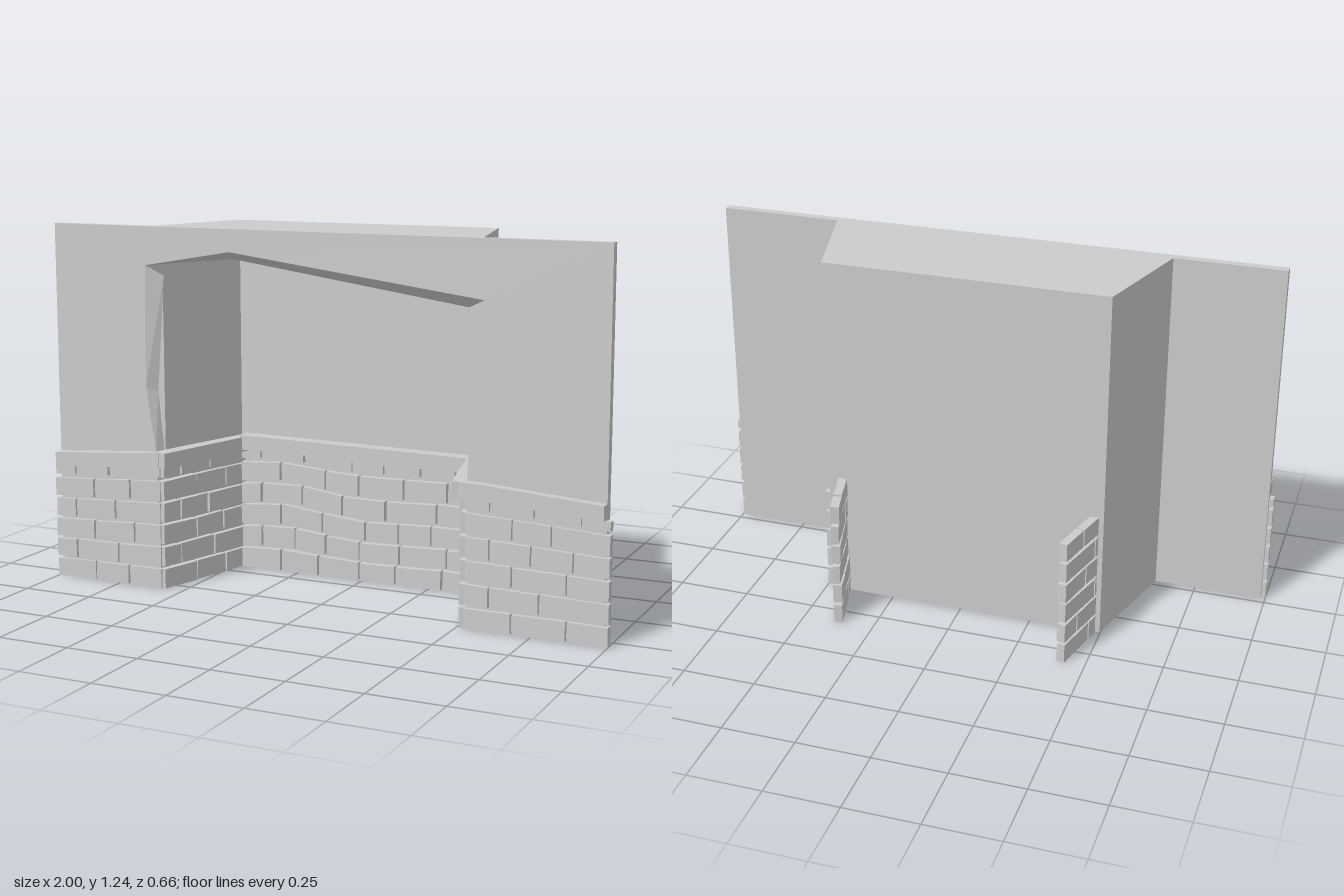
import * as THREE from 'three';

const BOTTOM = 0.01, TOP = 1.24;

export function createModel() {
  const model = new THREE.Group();
  model.name = 'brickAlcoveWall';
  const plaster = new THREE.MeshStandardMaterial({ color: 0xcccccc, flatShading: true });

  let seed = 7;
  const rand = () => (seed = (seed * 16807) % 2147483647) / 2147483647;

  function add(parent, name, geometry) {
    const mesh = new THREE.Mesh(geometry, plaster);
    mesh.name = name;
    parent.add(mesh);
    return mesh;
  }

  const toShape = pts => new THREE.Shape(pts.map(p => new THREE.Vector2(p[0], p[1])));

  // Extrudes a plan outline of [x, z] points between two heights
  function prism(name, plan, y0, y1) {
    const g = new THREE.ExtrudeGeometry(toShape(plan.map(([x, z]) => [x, -z])), { depth: y1 - y0, bevelEnabled: false });
    g.rotateX(-Math.PI / 2).translate(0, y0, 0);
    return add(model, name, g);
  }

  // Front plaster wall: the opening narrows from the front face to the back face
  const openFront = [[-0.585, BOTTOM], [-0.6, 0.48], [-0.635, 0.7], [-0.63, 1.11], [-0.31, 1.165],
    [0.58, 1.05], [0.527, 1.02], [0.536, 0.9], [0.531, 0.48], [0.531, BOTTOM]];
  const openBack = [[-0.575, BOTTOM], [-0.585, 0.48], [-0.605, 0.68], [-0.575, 1.075], [-0.31, 1.14],
    [0.52, 1.022], [0.515, 1.01], [0.528, 0.9], [0.524, 0.48], [0.524, BOTTOM]];
  const border = [[0.985, BOTTOM], [0.985, TOP], [-0.985, TOP], [-0.985, BOTTOM]];
  const wall = new THREE.ExtrudeGeometry(toShape([...openFront, ...border]), { depth: 0.03, bevelEnabled: false });
  const wp = wall.attributes.position;
  for (let i = 0; i < wp.count; i++) {
    if (wp.getZ(i) > 0.001) continue;
    const k = openFront.findIndex(p => Math.hypot(p[0] - wp.getX(i), p[1] - wp.getY(i)) < 1e-4);
    if (k >= 0) wp.setXY(i, ...openBack[k]);
  }
  wall.computeVertexNormals();
  add(model, 'frontWall', wall.translate(0, 0, 0.265));

  // Alcove shell with open floor, closed by a lid
  const outer = [[-0.61, 0.265], [-0.5, -0.12], [0.47, -0.12], [0.565, 0.265]];
  const inner = [[0.535, 0.265], [0.445, -0.09], [-0.478, -0.09], [-0.58, 0.265]];
  prism('alcoveShell', [...outer, ...inner], BOTTOM, TOP - 0.03);
  prism('alcoveLid', outer, TOP - 0.03, TOP);

  // A block on a wall run from a to b: u along the run, d out from it
  function block(parent, name, run, [u0, u1], [y0, y1], [d0, d1], segments = 1, jitter = 0) {
    const { a, b, warp } = run;
    const dx = b[0] - a[0], dz = b[1] - a[1], len = Math.hypot(dx, dz);
    const g = new THREE.BoxGeometry(u1 - u0, y1 - y0, d1 - d0, segments, 1, 1);
    g.translate((u0 + u1) / 2, (y0 + y1) / 2, (d0 + d1) / 2);
    const slope = (rand() - 0.5) * jitter, lean = (rand() - 0.5) * jitter;
    const p = g.attributes.position;
    for (let i = 0; i < p.count; i++) {
      const u = p.getX(i), y = p.getY(i);
      const t = (u - u0) / (u1 - u0) - 0.5;
      const d = p.getZ(i) + (p.getZ(i) > (d0 + d1) / 2 ? t * lean : 0);
      const x = a[0] + (dx * u - dz * d) / len;
      p.setXYZ(i, x, Math.max(0, y + warp(x, y) + t * slope), a[1] + (dz * u + dx * d) / len);
    }
    g.computeVertexNormals();
    add(parent, name, g);
  }

  // Courses sag at the outer ends and ripple along the back
  const wingWarp = (x, y) => -0.03 * Math.max(0, (Math.abs(x) - 0.56) / 0.44) * y / 0.45;
  const backWarp = (x, y) => Math.sin(Math.min(1, y / 0.48) * Math.PI) *
    (0.018 * Math.exp(-(((x + 0.28) / 0.13) ** 2)) - 0.014 * Math.exp(-(((x - 0.02) / 0.18) ** 2)))
    + 0.012 * (y / 0.48) * (0.2 - x) * (x > -0.45 ? 1 : 0.9);
  const flat = () => 0;

  const runs = [
    { name: 'rightWing', a: [-1, 0.28], b: [-0.58, 0.28], warp: wingWarp, ledge: [0.015, 0.43], out: 0.05, topRow: [0.395, 0.427] },
    { name: 'rightAlcoveSide', a: [-0.593, 0.3], b: [-0.43, -0.325], warp: flat, ledge: [-0.02, 0.4], out: 0.055, topRow: [0.392, 0.455] },
    { name: 'alcoveBack', a: [-0.47, -0.096], b: [0.5, -0.096], warp: backWarp, ledge: [0.01, 0.925], out: 0.06, topRow: [0.395, 0.43], topEnd: 0.92 },
    { name: 'leftAlcoveSide', a: [0.387, -0.325], b: [0.54, 0.3], warp: flat, ledge: [0.24, 0.66], out: 0.055, topRow: [0.392, 0.455] },
    { name: 'leftWing', a: [0.53, 0.28], b: [1, 0.28], warp: wingWarp, ledge: [-0.015, 0.455], out: 0.05, topRow: [0.395, 0.427] },
  ];

  for (const run of runs) {
    const group = new THREE.Group();
    group.name = run.name + 'Bricks';
    model.add(group);
    const len = Math.hypot(run.b[0] - run.a[0], run.b[1] - run.a[1]);
    for (let row = 0; row < 6; row++) {
      const y0 = 0.005 + row * 0.077;
      const rowY = row < 5 ? [y0, y0 + 0.067] : run.topRow;
      const end = row === 5 && run.topEnd ? run.topEnd : len;
      // Staggered bricks with uneven lengths
      let u = 0, size = row % 2 ? 0.085 : 0.16;
      while (u < end - 0.01) {
        let next = u + size;
        if (end - next < 0.06) next = end;
        block(group, 'brick', run, [u, next - (next < end ? 0.007 : 0)], rowY, [0, 0.026 + rand() * 0.005], 1, 0.006);
        u = next;
        size = 0.12 + rand() * 0.07;
      }
    }
    // Capping ledge above the bricks
    block(group, 'ledge', run, run.ledge, [0.43, 0.482], [0.005, run.out], 8);
  }
  return model;
}
